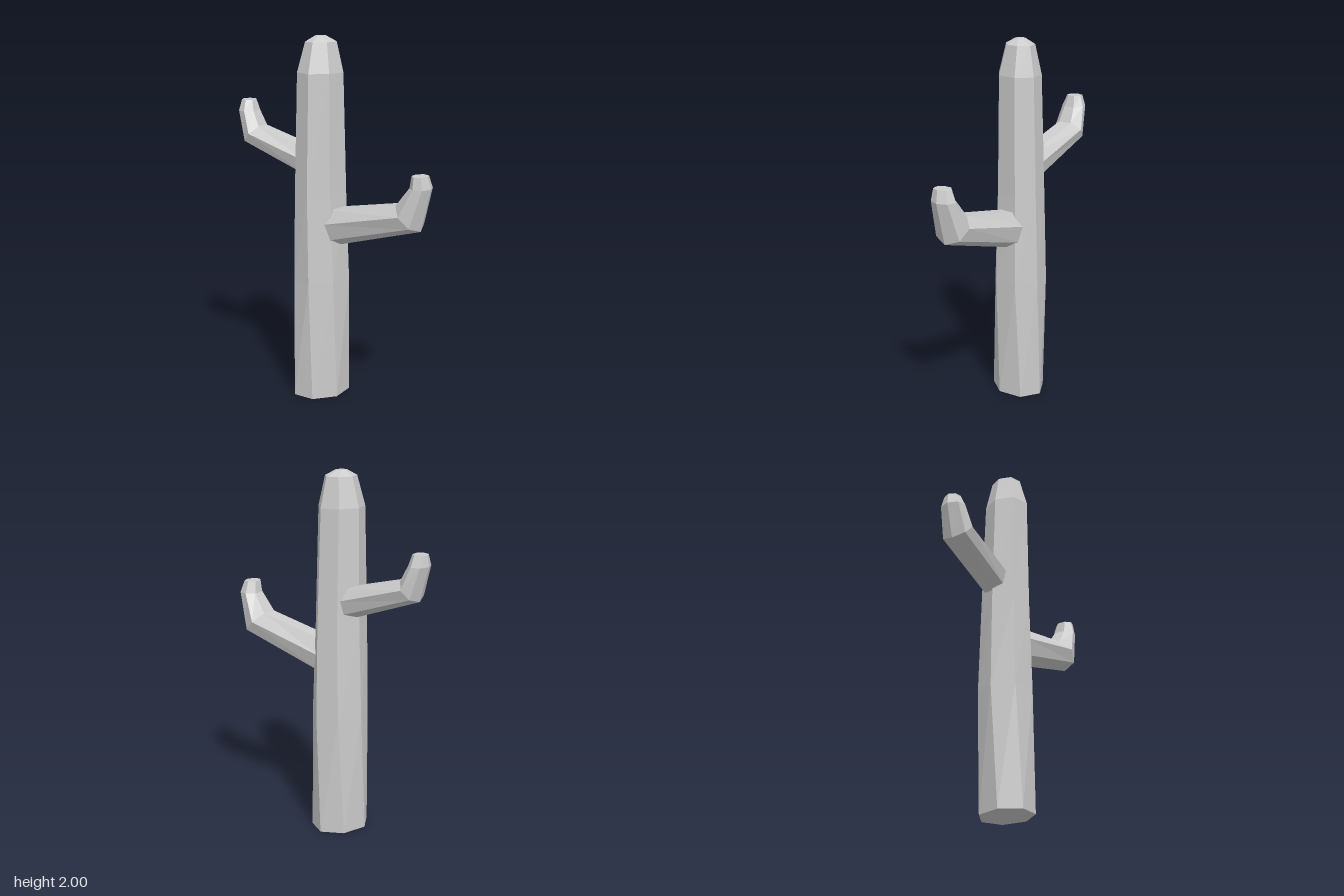
import * as THREE from 'three';

const SIDES = 7;
const rad = THREE.MathUtils.degToRad;
const material = new THREE.MeshStandardMaterial({ color: 0xcccccc, flatShading: true });

// Skin closed rings { c: centre, s: side half-axis, u: other half-axis, turn: degrees }
function loft(name, rings) {
  const pos = [];
  const index = [];
  for (const { c, s, u, turn } of rings) {
    for (let i = 0; i < SIDES; i++) {
      const a = rad(turn) + (i / SIDES) * Math.PI * 2;
      const p = c.clone().addScaledVector(s, Math.cos(a)).addScaledVector(u, Math.sin(a));
      pos.push(p.x, p.y, p.z);
    }
  }
  for (let r = 0; r < rings.length - 1; r++) {
    for (let i = 0; i < SIDES; i++) {
      const a = r * SIDES + i;
      const b = r * SIDES + ((i + 1) % SIDES);
      index.push(a, b, b + SIDES, a, b + SIDES, a + SIDES);
    }
  }
  // flat end caps
  const top = (rings.length - 1) * SIDES;
  for (let i = 1; i < SIDES - 1; i++) {
    index.push(0, i + 1, i);
    index.push(top, top + i, top + i + 1);
  }
  const indexed = new THREE.BufferGeometry();
  indexed.setAttribute('position', new THREE.Float32BufferAttribute(pos, 3));
  indexed.setIndex(index);
  const geometry = indexed.toNonIndexed();
  geometry.computeVertexNormals();
  const mesh = new THREE.Mesh(geometry, material);
  mesh.name = name;
  return mesh;
}

// Trunk: tapering, slightly twisted column with a rounded crown
function createTrunk() {
  const rows = [
    // y, centre x, centre z, radius x, radius z, twist
    [0, -0.034, -0.056, 0.167, 0.137, 33],
    [0.67, -0.027, -0.057, 0.161, 0.142, 45],
    [1.17, -0.029, -0.059, 0.15, 0.126, 48],
    [1.81, -0.033, -0.056, 0.131, 0.114, 47],
    [1.97, -0.028, -0.057, 0.09, 0.076, 47],
    [2.0, -0.03, -0.06, 0.032, 0.029, 47],
  ];
  return loft('trunk', rows.map(([y, x, z, rx, rz, twist]) => ({
    c: new THREE.Vector3(x, y, z),
    s: new THREE.Vector3(rx, 0, 0),
    u: new THREE.Vector3(0, 0, -rz),
    turn: -twist,
  })));
}

// Arm: grows outward along a heading, bends at an elbow and ends in a blunt upright tip.
// Each row is centre xyz, side radius, then the other half-axis as outward and upward amounts.
function createArm(name, heading, rows) {
  const d = new THREE.Vector3(heading[0], 0, heading[1]).normalize();
  const side = new THREE.Vector3(d.z, 0, -d.x);
  return loft(name, rows.map(([x, y, z, r, out, up]) => ({
    c: new THREE.Vector3(x, y, z),
    s: side.clone().multiplyScalar(r),
    u: d.clone().multiplyScalar(out).setY(up),
    turn: 90 - 180 / SIDES,
  })));
}

export function createModel() {
  const group = new THREE.Group();
  group.name = 'cactus';
  group.add(
    createTrunk(),
    createArm('frontArm', [0.37, 0.93], [
      [0.0, 0.975, 0.01, 0.095, -0.025, 0.105],
      [0.178, 1.097, 0.468, 0.099, -0.068, 0.068],
      [0.202, 1.26, 0.53, 0.07, -0.058, 0],
      [0.194, 1.325, 0.53, 0.052, -0.043, 0],
    ]),
    createArm('backArm', [-0.38, -0.92], [
      [-0.035, 1.305, -0.12, 0.085, -0.025, 0.085],
      [-0.188, 1.428, -0.485, 0.09, -0.05, 0.055],
      [-0.205, 1.56, -0.527, 0.07, -0.055, 0],
      [-0.205, 1.62, -0.532, 0.045, -0.04, 0],
    ]),
  );
  return group;
}
